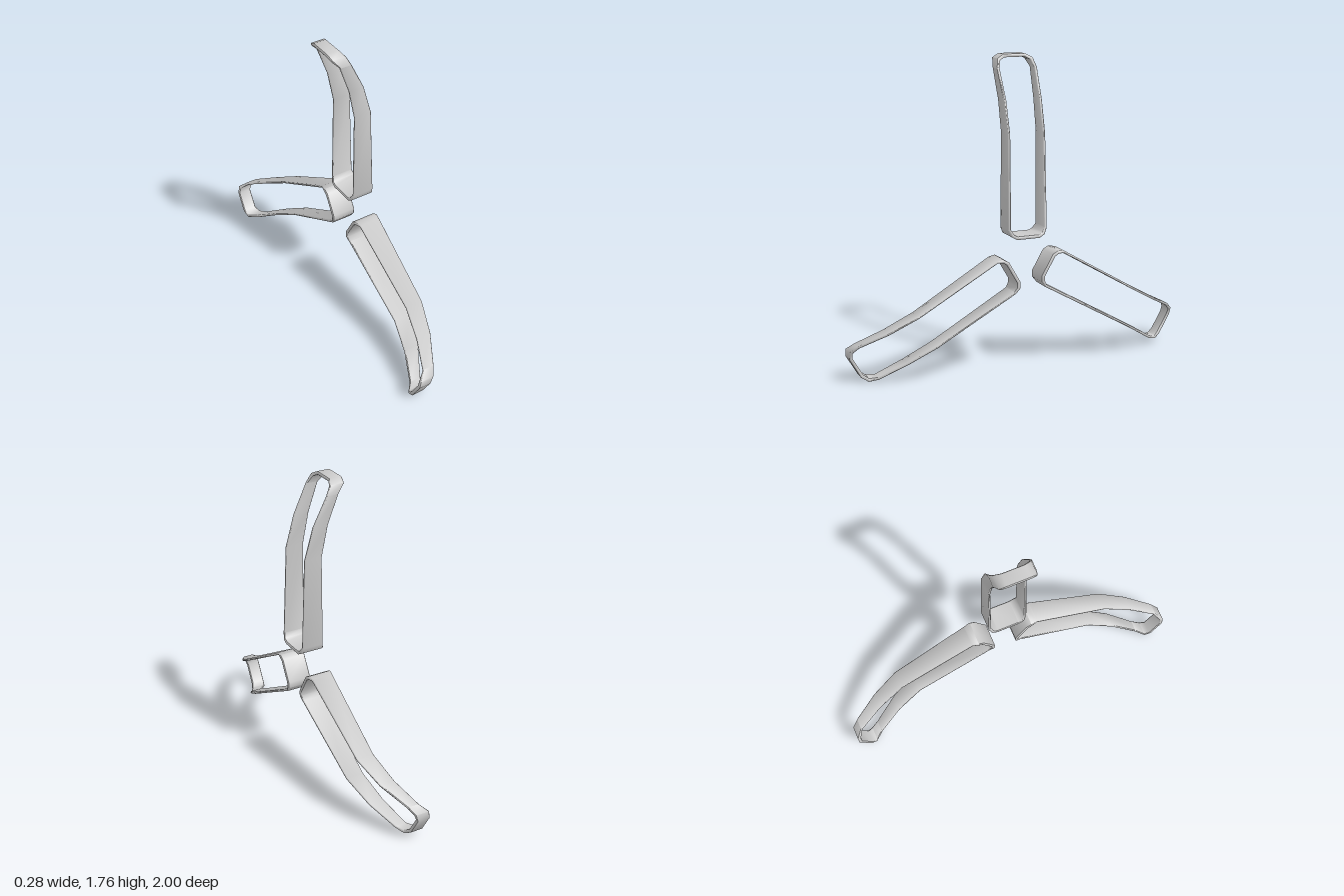
import * as THREE from 'three';
import { toCreasedNormals } from 'three/addons/utils/BufferGeometryUtils.js';

// Half outline of a looped blade, hub end to tip:
// [half width, radius, band edge x min, band edge x max, wall thickness]
const HALF = [
  [0.068, 0.114, -0.010, 0.135, 0.018],
  [0.098, 0.132, -0.010, 0.135, 0.017],
  [0.114, 0.168, 0.000, 0.127, 0.014],
  [0.110, 0.693, 0.006, 0.110, 0.013],
  [0.112, 0.873, -0.030, 0.060, 0.014],
  [0.118, 1.040, -0.090, -0.020, 0.015],
  [0.104, 1.092, -0.132, -0.045, 0.017],
  [0.064, 1.113, -0.140, -0.060, 0.018],
];
const OFFSET = 0.012; // blade sits slightly beside its radial line

// Closed band: a bevelled strip section swept round the mirrored outline
function bladeGeometry() {
  const loop = [...HALF, ...HALF.map(([w, ...rest]) => [-w, ...rest]).reverse()];
  const n = loop.length;
  const positions = [], index = [];
  const dir = (a, b) => new THREE.Vector2(b[0] - a[0], b[1] - a[1]).normalize();
  loop.forEach(([w, r, x0, x1, t], i) => {
    const d0 = dir(loop[(i + n - 1) % n], loop[i]);
    const d1 = dir(loop[i], loop[(i + 1) % n]);
    const tangent = d0.clone().add(d1).normalize();
    const depth = t / tangent.dot(d1); // mitred wall
    const b = 0.004;
    const section = [
      [x0 + b, 0], [x1 - b, 0], [x1, 0.3], [x1, 0.7],
      [x1 - b, 1], [x0 + b, 1], [x0, 0.7], [x0, 0.3],
    ];
    for (const [x, k] of section) {
      positions.push(x, r + tangent.x * depth * k, w - tangent.y * depth * k + OFFSET);
    }
  });
  const m = 8;
  for (let i = 0; i < n; i++) {
    for (let j = 0; j < m; j++) {
      const a = i * m + j, b = i * m + (j + 1) % m;
      const c = ((i + 1) % n) * m + (j + 1) % m, d = ((i + 1) % n) * m + j;
      index.push(a, b, c, a, c, d);
    }
  }
  const geometry = new THREE.BufferGeometry();
  geometry.setAttribute('position', new THREE.Float32BufferAttribute(positions, 3));
  geometry.setIndex(index);
  return toCreasedNormals(geometry, 0.9);
}

export function createModel() {
  const model = new THREE.Group();
  model.name = 'threeBladeRotor';
  const material = new THREE.MeshStandardMaterial({ color: 0xcccccc });
  const geometry = bladeGeometry();

  // Three identical blades around the x axis
  const rotor = new THREE.Group();
  rotor.name = 'rotor';
  rotor.position.set(0, 0.647, 0.008);
  ['topBlade', 'frontBlade', 'backBlade'].forEach((name, i) => {
    const blade = new THREE.Mesh(geometry, material);
    blade.name = name;
    blade.rotation.x = (i * Math.PI * 2) / 3;
    rotor.add(blade);
  });
  model.add(rotor);
  return model;
}
